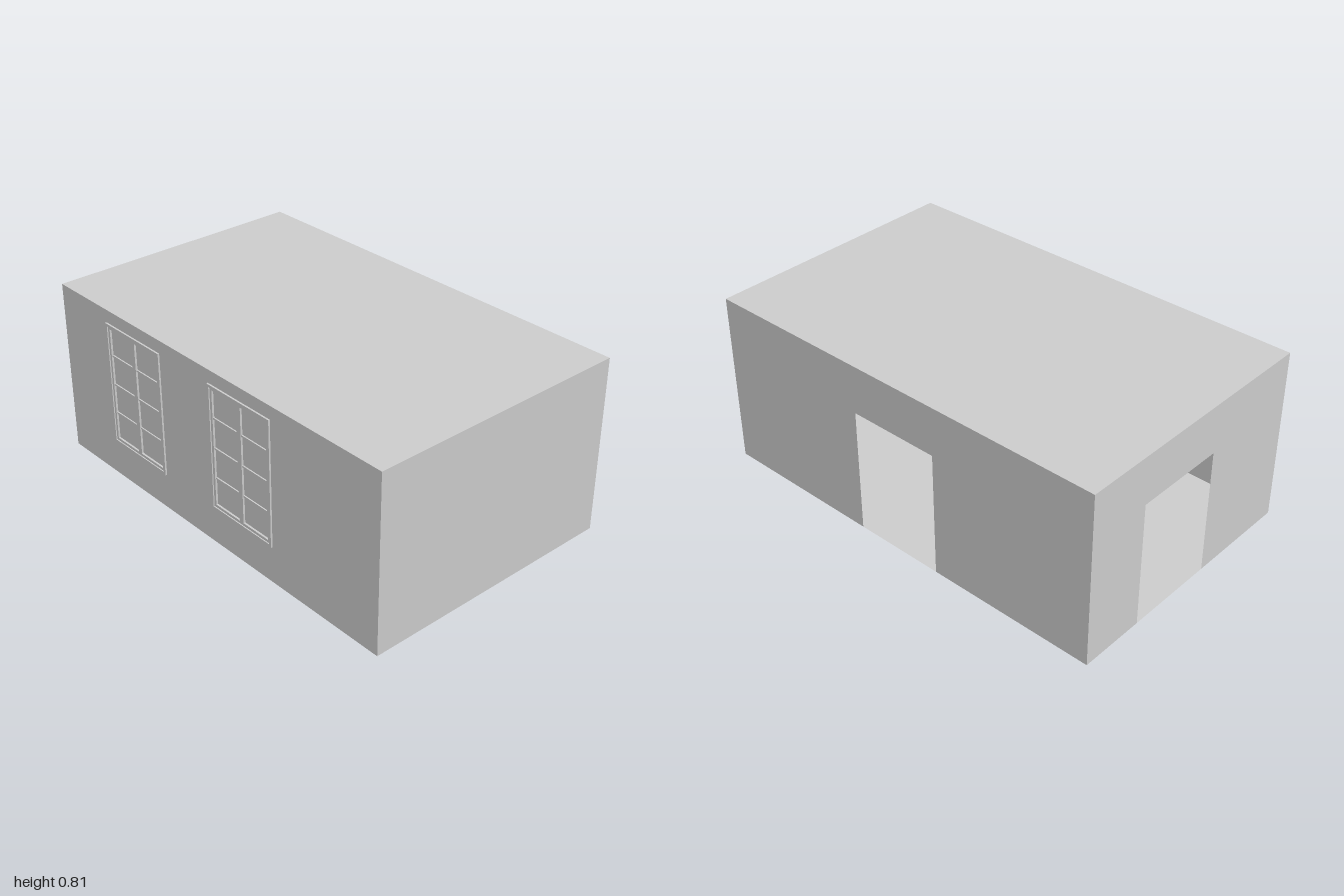
import * as THREE from 'three';

const X = 1, H = 0.81, ZB = -0.62, ZF = 0.612;   // room extents
const DEPTH = ZF - ZB, ZC = (ZF + ZB) / 2;
const DOOR_W = 0.43, DOOR_H = 0.585;
const WIN = { w: 0.375, y0: 0.17, y1: 0.75, xs: [-0.48, 0.215] };

const grey = new THREE.MeshStandardMaterial({ color: 0xcccccc });
const thin = new THREE.MeshStandardMaterial({ color: 0xcccccc, side: THREE.DoubleSide });

function box(parent, name, w, h, d, x, y, z) {
  const m = new THREE.Mesh(new THREE.BoxGeometry(w, h, d), grey);
  m.position.set(x, y, z);
  m.name = name;
  parent.add(m);
}

// Thin wall of the given width, with an optional doorway centred at doorU
function wall(parent, name, width, doorU, holes = []) {
  const p = [[-width / 2, 0]];
  if (doorU !== null) {
    const a = doorU - DOOR_W / 2, b = doorU + DOOR_W / 2;
    p.push([a, 0], [a, DOOR_H], [b, DOOR_H], [b, 0]);
  }
  p.push([width / 2, 0], [width / 2, H], [-width / 2, H]);
  const shape = new THREE.Shape(p.map(([x, y]) => new THREE.Vector2(x, y)));
  for (const [x0, y0, x1, y1] of holes) {
    shape.holes.push(new THREE.Path([[x0, y0], [x0, y1], [x1, y1], [x1, y0]]
      .map(([x, y]) => new THREE.Vector2(x, y))));
  }
  const m = new THREE.Mesh(new THREE.ShapeGeometry(shape), thin);
  m.name = name;
  parent.add(m);
  return m;
}

// Floor or ceiling sheet
function slab(parent, name, y) {
  const m = new THREE.Mesh(new THREE.PlaneGeometry(2 * X, DEPTH), thin);
  m.rotation.x = -Math.PI / 2;
  m.position.set(0, y, ZC);
  m.name = name;
  parent.add(m);
}

// Double casement: frame, two sashes of four panes, inner sill
function makeWindow(cx) {
  const g = new THREE.Group();
  g.name = 'window';
  const { w, y0, y1 } = WIN, h = y1 - y0, cy = (y0 + y1) / 2;
  const t = 0.012, zOut = 0.62, zIn = 0.575;
  const d = zOut - zIn, zc = (zOut + zIn) / 2;
  for (const s of [-1, 1]) {
    box(g, 'frameSide', t, h, d, s * (w - t) / 2, cy, zc);
    box(g, 'frameRail', w - 2 * t, t, d, 0, cy + s * (h - t) / 2, zc);
    // sash
    const sw = w / 2 - t, sx = s * sw / 2, b = 0.012, sh = h - 2 * t;
    for (const k of [-1, 1]) {
      box(g, 'sashStile', b, sh, 0.022, sx + k * (sw - b) / 2, cy, 0.604);
      box(g, 'sashRail', sw - 2 * b, b, 0.022, sx, cy + k * (sh - b) / 2, 0.604);
    }
    for (let i = 1; i < 4; i++) {
      box(g, 'glazingBar', sw - 2 * b, 0.008, 0.016, sx, cy - sh / 2 + sh * i / 4, 0.604);
    }
    box(g, 'pane', sw - 2 * b, sh - 2 * b, 0.004, sx, cy, 0.604);
  }
  box(g, 'sill', w, 0.015, 0.06, 0, y0 + 0.0075, ZF - 0.031);
  g.position.x = cx;
  return g;
}

export function createModel() {
  const room = new THREE.Group();
  room.name = 'room';

  slab(room, 'floor', 0);
  slab(room, 'ceiling', H);

  // Walls
  const holes = WIN.xs.map(x => [x - WIN.w / 2, WIN.y0, x + WIN.w / 2, WIN.y1]);
  wall(room, 'frontWall', 2 * X, null, holes).position.z = ZF;
  wall(room, 'backWall', 2 * X, 0.005).position.z = ZB;
  const solid = wall(room, 'solidSideWall', DEPTH, null);
  solid.rotation.y = Math.PI / 2;
  solid.position.set(X, 0, ZC);
  const open = wall(room, 'doorwaySideWall', DEPTH, -0.097 - ZC);
  open.rotation.y = -Math.PI / 2;
  open.position.set(-X, 0, ZC);

  // Windows
  for (const x of WIN.xs) room.add(makeWindow(x));

  // Stepped cornice under the ceiling
  const e = 0.002;
  for (const [out, top, h] of [[0.06, e, 0.02], [0.03, 0.02 + e, 0.02]]) {
    const y = H - top - h / 2;
    for (const s of [-1, 1]) {
      box(room, 'cornice', out, h, DEPTH - 2 * e, s * (X - e - out / 2), y, ZC);
      box(room, 'cornice', 2 * (X - e - out), h, out, 0, y, ZC + s * (DEPTH / 2 - e - out / 2));
    }
  }
  return room;
}
